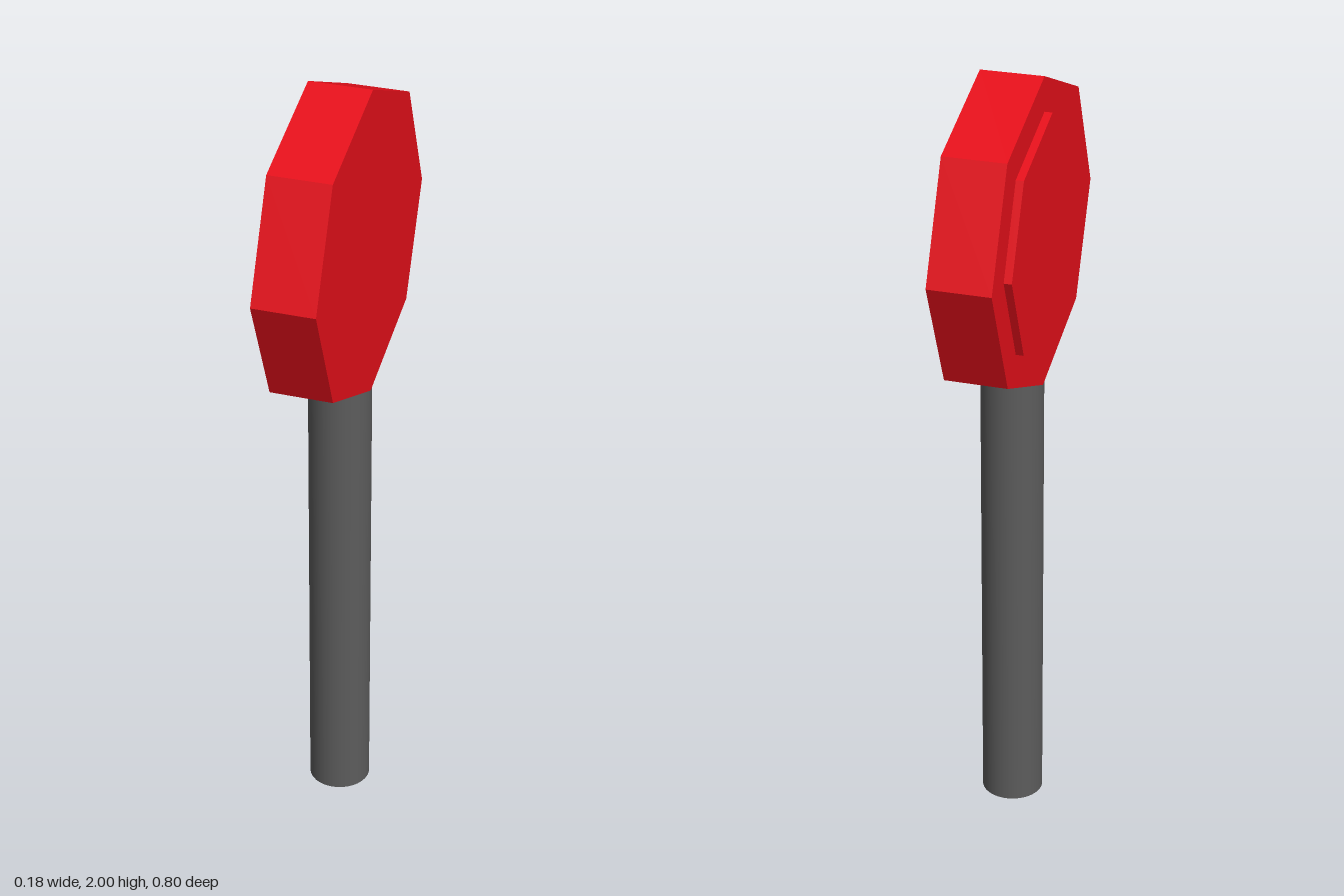
import * as THREE from 'three';

const RED = 0xe50f1a;
const GREY = 0x5c5c5c;

// Eight-sided slab facing along x, with a corner pointing up
function octagonSlab(name, radius, x0, x1) {
  const geometry = new THREE.CylinderGeometry(radius, radius, x1 - x0, 8);
  geometry.rotateZ(Math.PI / 2);
  const mesh = new THREE.Mesh(
    geometry,
    new THREE.MeshStandardMaterial({ color: RED, flatShading: true })
  );
  mesh.name = name;
  mesh.position.set((x0 + x1) / 2, 1.6, 0);
  return mesh;
}

export function createModel() {
  const model = new THREE.Group();
  model.name = 'octagonSign';

  // Round post, its top sunk into the head
  const postHeight = 1.3;
  const post = new THREE.Mesh(
    new THREE.CylinderGeometry(0.08, 0.08, postHeight, 32),
    new THREE.MeshStandardMaterial({ color: GREY })
  );
  post.name = 'post';
  post.position.set(0.01, postHeight / 2, 0);
  model.add(post);

  // Thick head and the smaller raised plate on its -x face
  model.add(octagonSlab('signHead', 0.4, -0.07, 0.09));
  model.add(octagonSlab('raisedPlate', 0.3125, -0.09, -0.07));

  return model;
}
